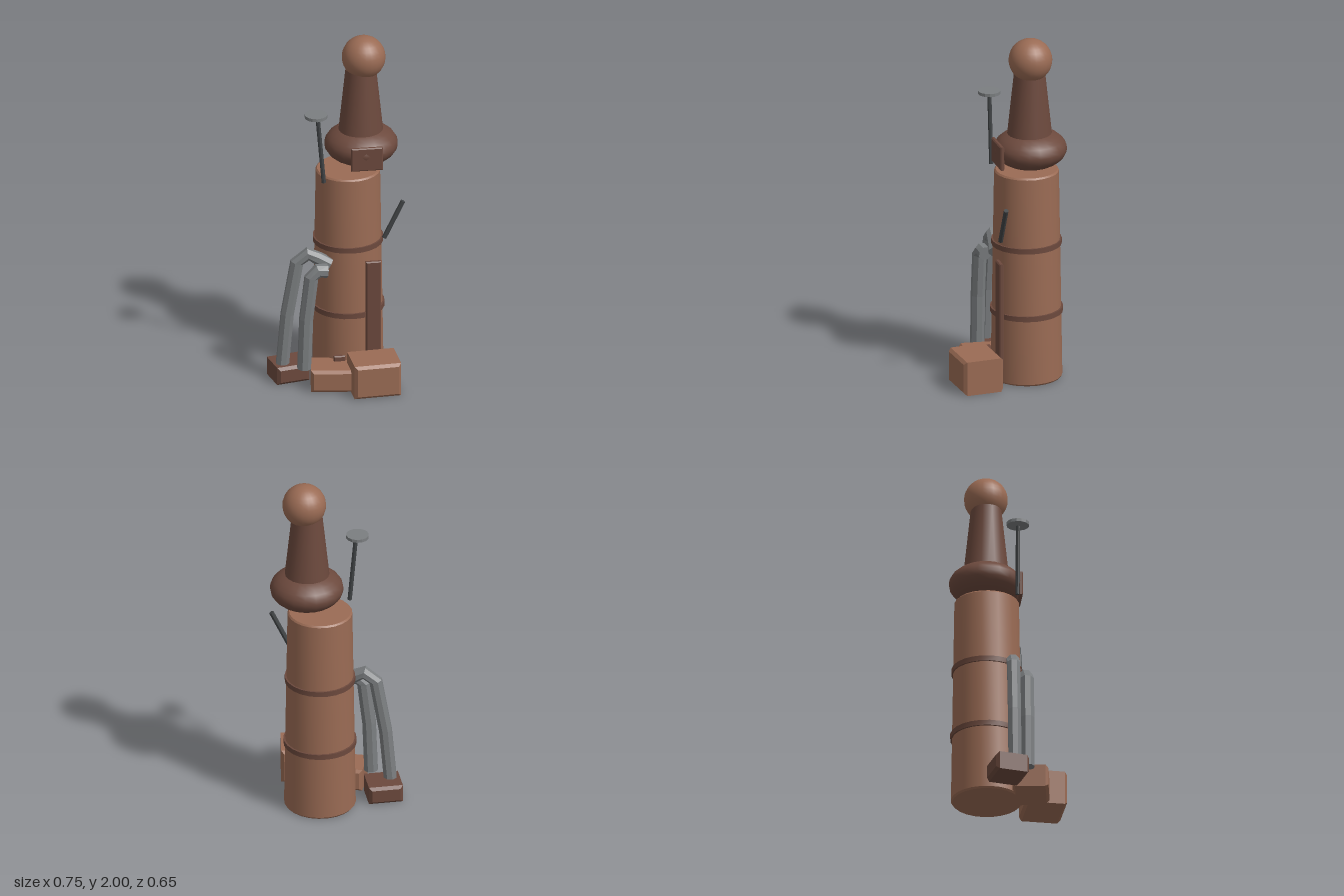
import * as THREE from 'three';
import { toCreasedNormals } from 'three/addons/utils/BufferGeometryUtils.js';

const material = (name, color, flatShading = false) => {
  const m = new THREE.MeshStandardMaterial({ color, flatShading });
  m.name = name;
  return m;
};

export function createModel() {
  const group = new THREE.Group();
  const copper = material('copper', 0x9a6b54);
  const darkCopper = material('dark copper', 0x6c493d);
  const steel = material('grey steel', 0x7b7e80, true);
  const iron = material('dark iron', 0x404345, true);

  const add = (name, geometry, mat, x = 0, y = 0, z = 0) => {
    const mesh = new THREE.Mesh(geometry, mat);
    mesh.name = name;
    mesh.position.set(x, y, z);
    group.add(mesh);
    return mesh;
  };

  // Box with chamfered edges, centred on its origin
  const chamferBox = (w, h, d, b) => {
    const x = w / 2 - b, y = h / 2 - b;
    const shape = new THREE.Shape([[-x, -y], [x, -y], [x, y], [-x, y]].map(p => new THREE.Vector2(...p)));
    const g = new THREE.ExtrudeGeometry(shape, {
      depth: d - 2 * b, bevelEnabled: true, bevelSize: b, bevelThickness: b, bevelSegments: 1,
    });
    return g.translate(0, 0, b - d / 2);
  };
  const lathe = (points, segments) => toCreasedNormals(
    new THREE.LatheGeometry(points.map(p => new THREE.Vector2(...p)), segments), 0.5);

  // Slim cylinder between two points
  const rod = (name, a, b, radius, sides, mat) => {
    const from = new THREE.Vector3(...a), to = new THREE.Vector3(...b);
    const dir = to.clone().sub(from);
    const mesh = add(name, new THREE.CylinderGeometry(radius, radius, dir.length(), sides), mat);
    mesh.position.copy(from).add(to).multiplyScalar(0.5);
    mesh.quaternion.setFromUnitVectors(new THREE.Vector3(0, 1, 0), dir.normalize());
  };

  // Faceted pipe: a ring of corners at each bend, closed at both ends
  const pipe = (name, path, radius, sides = 8) => {
    const pts = path.map(p => new THREE.Vector3(...p));
    const pos = [], idx = [];
    const side = new THREE.Vector3(0, 0, 1);
    pts.forEach((p, i) => {
      const t = pts[Math.min(i + 1, pts.length - 1)].clone().sub(pts[Math.max(i - 1, 0)]).normalize();
      const u = new THREE.Vector3().crossVectors(side, t).normalize();
      const v = new THREE.Vector3().crossVectors(t, u);
      for (let j = 0; j < sides; j++) {
        const a = (j + 0.5) / sides * Math.PI * 2;
        const q = p.clone().addScaledVector(u, Math.cos(a) * radius).addScaledVector(v, Math.sin(a) * radius);
        pos.push(q.x, q.y, q.z);
        if (i < pts.length - 1) {
          const k = i * sides + j, n = i * sides + (j + 1) % sides;
          idx.push(k, n, k + sides, n, n + sides, k + sides);
        }
      }
    });
    const last = (pts.length - 1) * sides;
    for (let j = 1; j < sides - 1; j++) idx.push(0, j + 1, j, last, last + j, last + j + 1);
    const g = new THREE.BufferGeometry();
    g.setAttribute('position', new THREE.Float32BufferAttribute(pos, 3));
    g.setIndex(idx);
    g.computeVertexNormals();
    add(name, g, steel);
  };

  // Tapered tank with two hoops
  const tx = 0.08, tz = -0.122;
  add('tank', lathe([[0, 0], [0.19, 0], [0.198, 0.01], [0.179, 1.203], [0.171, 1.212], [0, 1.212]], 24), copper, tx, 0, tz);
  for (const [y, r] of [[0.395, 0.202], [0.79, 0.195]]) {
    add('tankHoop', toCreasedNormals(new THREE.CylinderGeometry(r, r, 0.03, 24), 0.5), darkCopper, tx, y, tz);
  }

  // Floating dome, neck and ball
  add('dome', new THREE.SphereGeometry(0.204, 20, 14).scale(1, 0.55, 1), darkCopper, 0.153, 1.357, -0.121);
  add('neck', toCreasedNormals(new THREE.CylinderGeometry(0.085, 0.125, 0.38, 20), 0.5), darkCopper, 0.151, 1.62, -0.118);
  add('ball', new THREE.SphereGeometry(0.121, 24, 16), copper, 0.167, 1.879, -0.118);
  add('domeHatch', chamferBox(0.175, 0.137, 0.024, 0.006), darkCopper, 0.158, 1.342, 0.067);

  // Front strip and small ledge
  add('frontStrip', chamferBox(0.084, 0.62, 0.026, 0.006), darkCopper, 0.194, 0.41, 0.068);
  add('ledge', chamferBox(0.065, 0.05, 0.03, 0.006), darkCopper, 0.005, 0.135, 0.067);

  // Blocks around the base: x, z, width, height, depth, turn
  for (const [name, x, z, w, h, d, turn, mat] of [
    ['sideBlock', -0.266, -0.037, 0.19, 0.103, 0.192, 0.22, darkCopper],
    ['middleBlock', -0.035, 0.112, 0.25, 0.13, 0.2, -0.13, copper],
    ['frontBlock', 0.179, 0.2, 0.262, 0.196, 0.232, 0.065, copper],
  ]) {
    add(name, chamferBox(w, h, d, 0.016), mat, x, h / 2, z).rotation.y = turn;
  }

  // Bent pipes
  pipe('outerPipe', [[-0.303, 0.09, -0.003], [-0.276, 0.4, -0.003], [-0.222, 0.71, -0.003],
    [-0.16, 0.758, 0], [-0.105, 0.73, 0.01], [-0.04, 0.695, 0.022]], 0.038);
  pipe('innerPipe', [[-0.193, 0.1, 0.078], [-0.182, 0.4, 0.078], [-0.153, 0.65, 0.078],
    [-0.115, 0.685, 0.075], [-0.065, 0.68, 0.07]], 0.04);

  // Capped mast and slanted lever
  rod('mast', [-0.077, 1.2, 0.033], [-0.112, 1.6, 0.033], 0.012, 8, iron);
  add('mastCap', new THREE.CylinderGeometry(0.063, 0.063, 0.018, 14), steel, -0.12, 1.606, 0.031);
  rod('lever', [0.252, 0.865, 0.08], [0.357, 1.08, 0.08], 0.014, 8, iron);

  return group;
}
